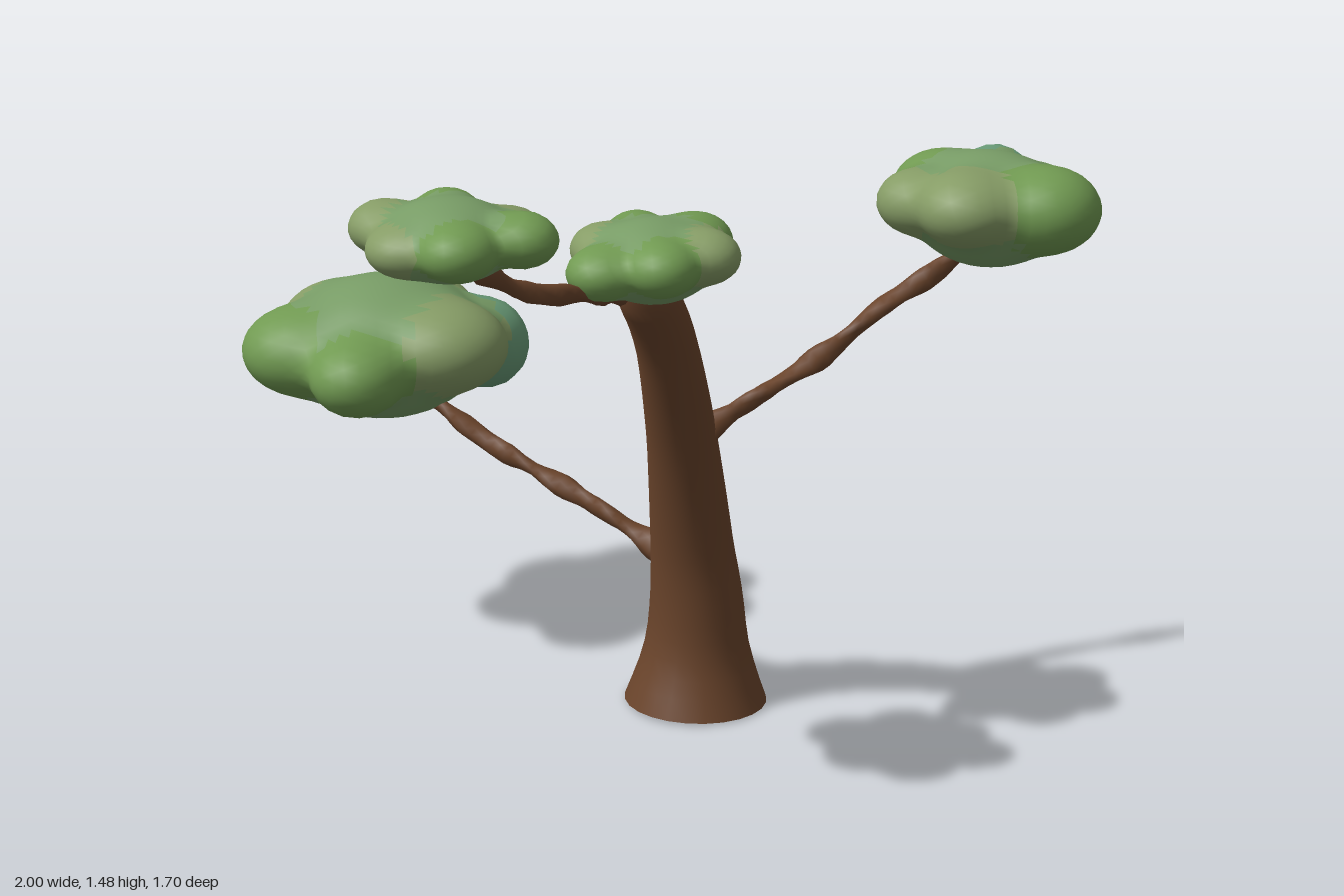
import * as THREE from 'three';
import { mergeVertices } from 'three/addons/utils/BufferGeometryUtils.js';

const bark = new THREE.MeshStandardMaterial({ color: 0x6a442b, side: THREE.DoubleSide });
const leaves = {
  g: new THREE.MeshStandardMaterial({ color: 0x719a52 }), // green
  t: new THREE.MeshStandardMaterial({ color: 0x869c66 }), // tan
  b: new THREE.MeshStandardMaterial({ color: 0x6a9c78 }), // blue-green
  m: new THREE.MeshStandardMaterial({ color: 0x789c66 }), // middle tone
};

// Sweeps an oval, optionally twisting cross-section along a curve
function limb(name, points, radiusAt, { rows, sides, oval = 1, twist = 0 }) {
  const curve = new THREE.CatmullRomCurve3(points.map(p => new THREE.Vector3(...p)));
  const { normals, binormals } = curve.computeFrenetFrames(rows, false);
  const pos = [], index = [];
  for (let i = 0; i <= rows; i++) {
    const t = i / rows, c = curve.getPointAt(t), r = radiusAt(t);
    for (let j = 0; j < sides; j++) {
      const a = j / sides * Math.PI * 2, w = twist * t;
      const u = r * oval * Math.cos(a), v = r / oval * Math.sin(a);
      c.clone()
        .addScaledVector(normals[i], u * Math.cos(w) - v * Math.sin(w))
        .addScaledVector(binormals[i], u * Math.sin(w) + v * Math.cos(w))
        .toArray(pos, pos.length);
      if (i < rows) {
        const k = i * sides + j, n = i * sides + (j + 1) % sides;
        index.push(k, n, k + sides, n, n + sides, k + sides);
      }
    }
  }
  const geo = new THREE.BufferGeometry();
  geo.setAttribute('position', new THREE.Float32BufferAttribute(pos, 3));
  geo.setIndex(index);
  geo.computeVertexNormals();
  const mesh = new THREE.Mesh(geo, bark);
  mesh.name = name;
  return mesh;
}

// Piecewise linear lookup in [t, value] pairs
function ramp(stops, t) {
  let i = 1;
  while (i < stops.length - 1 && t > stops[i][0]) i++;
  const [a, x] = stops[i - 1], [b, y] = stops[i];
  return THREE.MathUtils.mapLinear(THREE.MathUtils.clamp(t, a, b), a, b, x, y);
}

// Blends ellipsoid lobes [x, y, z, rx, ry, rz, tone] into one skin, coloured by nearest lobe.
// The first lobe is the core the skin is wrapped around.
function foliage(name, lobes) {
  const centre = new THREE.Vector3(...lobes[0].slice(0, 3));
  const weight = (l, p) => Math.exp(3 * (1 - ((p.x - l[0]) / l[3]) ** 2
    - ((p.y - l[1]) / l[4]) ** 2 - ((p.z - l[2]) / l[5]) ** 2));
  const inside = p => lobes.reduce((s, l) => s + weight(l, p), 0) > 1;

  let geo = new THREE.IcosahedronGeometry(1, 9);
  geo.deleteAttribute('uv');
  geo.deleteAttribute('normal');
  geo = mergeVertices(geo, 1e-4);
  const pos = geo.attributes.position, p = new THREE.Vector3(), d = new THREE.Vector3();
  const owner = [];
  for (let i = 0; i < pos.count; i++) {
    d.fromBufferAttribute(pos, i);
    d.y *= 0.55;
    const at = s => p.copy(centre).addScaledVector(d, s);
    let hi = 0.6;
    while (hi > 0.02 && !inside(at(hi))) hi -= 0.008;
    let lo = hi;
    hi += 0.008;
    for (let k = 0; k < 8; k++) {
      const mid = (lo + hi) / 2;
      if (inside(at(mid))) lo = mid; else hi = mid;
    }
    at(lo);
    pos.setXYZ(i, p.x, p.y, p.z);
    const w = lobes.map(l => weight(l, p));
    owner.push(lobes[w.indexOf(Math.max(...w))][6]);
  }
  geo.computeVertexNormals();

  const group = new THREE.Group();
  group.name = name;
  const idx = geo.index.array;
  for (const tone of Object.keys(leaves)) {
    const faces = [];
    for (let i = 0; i < idx.length; i += 3) {
      if (owner[idx[i]] === tone) faces.push(idx[i], idx[i + 1], idx[i + 2]);
    }
    if (!faces.length) continue;
    const part = new THREE.BufferGeometry();
    part.setAttribute('position', pos);
    part.setAttribute('normal', geo.attributes.normal);
    part.setIndex(faces);
    const mesh = new THREE.Mesh(part, leaves[tone]);
    mesh.name = name + 'Leaves';
    group.add(mesh);
  }
  return group;
}

export function createModel() {
  const tree = new THREE.Group();
  tree.name = 'tree';

  // Leaning trunk with a flared foot, open underneath
  const girth = [[0, 0.172], [0.06, 0.143], [0.12, 0.122], [0.3, 0.1], [0.55, 0.083], [0.78, 0.071], [0.96, 0.068], [1, 0.03]];
  tree.add(limb('trunk', [
    [0.12, 0, 0.24], [0.122, 0.1, 0.24], [0.116, 0.25, 0.246], [0.092, 0.4, 0.258], [0.042, 0.6, 0.296],
    [-0.015, 0.77, 0.343], [-0.118, 1, 0.422], [-0.19, 1.11, 0.465], [-0.26, 1.19, 0.5],
  ], t => ramp(girth, t), { rows: 28, sides: 24 }));

  // Thin, twisted, slightly knotty branches
  const branches = {
    backBranch: [[0.07, 0.37, 0.2], [0.03, 0.41, 0.11], [-0.02, 0.46, 0], [-0.08, 0.515, -0.13], [-0.13, 0.56, -0.25], [-0.2, 0.65, -0.41]],
    leftBranch: [[0, 0.7, 0.34], [0.07, 0.745, 0.37], [0.2, 0.815, 0.41], [0.36, 0.89, 0.44], [0.48, 0.98, 0.475], [0.6, 1.045, 0.51], [0.7, 1.11, 0.54]],
    rightBranch: [[-0.22, 1.13, 0.46], [-0.32, 1.16, 0.49], [-0.47, 1.195, 0.54], [-0.6, 1.23, 0.56], [-0.7, 1.285, 0.57], [-0.79, 1.35, 0.58]],
  };
  for (const [name, path] of Object.entries(branches)) {
    tree.add(limb(name, path,
      t => 0.022 + 0.012 * Math.max(0, 1 - 6 * t) + 0.003 * Math.sin(t * 31),
      { rows: 36, sides: 8, oval: 1.2, twist: 9 }));
  }

  // Four foliage clusters
  tree.add(foliage('backFoliage', [
    [-0.25, 0.768, -0.53, 0.25, 0.175, 0.23, 'm'],
    [-0.46, 0.775, -0.6, 0.14, 0.105, 0.14, 'g'],
    [-0.28, 0.77, -0.71, 0.14, 0.115, 0.14, 't'],
    [-0.07, 0.78, -0.66, 0.135, 0.11, 0.145, 't'],
    [0.0, 0.745, -0.46, 0.1, 0.11, 0.11, 'b'],
    [-0.2, 0.8, -0.34, 0.15, 0.105, 0.14, 't'],
    [-0.45, 0.76, -0.36, 0.11, 0.09, 0.11, 'g'],
  ]));
  tree.add(foliage('leftFoliage', [
    [0.74, 1.195, 0.55, 0.18, 0.135, 0.19, 'm'],
    [0.72, 1.21, 0.4, 0.115, 0.095, 0.115, 'g'],
    [0.9, 1.2, 0.39, 0.095, 0.09, 0.095, 'b'],
    [0.89, 1.19, 0.57, 0.1, 0.085, 0.1, 'g'],
    [0.77, 1.225, 0.725, 0.125, 0.1, 0.12, 'g'],
    [0.6, 1.235, 0.63, 0.115, 0.085, 0.115, 't'],
    [0.58, 1.22, 0.47, 0.09, 0.075, 0.09, 't'],
  ]));
  tree.add(foliage('middleFoliage', [
    [-0.23, 1.23, 0.53, 0.14, 0.095, 0.13, 'm'],
    [-0.29, 1.24, 0.42, 0.075, 0.06, 0.075, 't'],
    [-0.19, 1.25, 0.41, 0.07, 0.06, 0.07, 'g'],
    [-0.115, 1.255, 0.53, 0.085, 0.065, 0.08, 'g'],
    [-0.17, 1.255, 0.64, 0.075, 0.06, 0.08, 't'],
    [-0.29, 1.245, 0.64, 0.075, 0.06, 0.075, 'g'],
    [-0.375, 1.225, 0.53, 0.08, 0.06, 0.08, 'g'],
  ]));
  tree.add(foliage('rightFoliage', [
    [-0.81, 1.388, 0.58, 0.14, 0.09, 0.14, 'm'],
    [-0.88, 1.395, 0.435, 0.08, 0.06, 0.075, 't'],
    [-0.745, 1.405, 0.47, 0.075, 0.06, 0.07, 'g'],
    [-0.67, 1.385, 0.6, 0.075, 0.055, 0.075, 't'],
    [-0.72, 1.405, 0.72, 0.075, 0.06, 0.08, 'g'],
    [-0.87, 1.395, 0.7, 0.08, 0.06, 0.075, 'g'],
    [-0.92, 1.38, 0.57, 0.08, 0.055, 0.085, 't'],
  ]));
  return tree;
}
